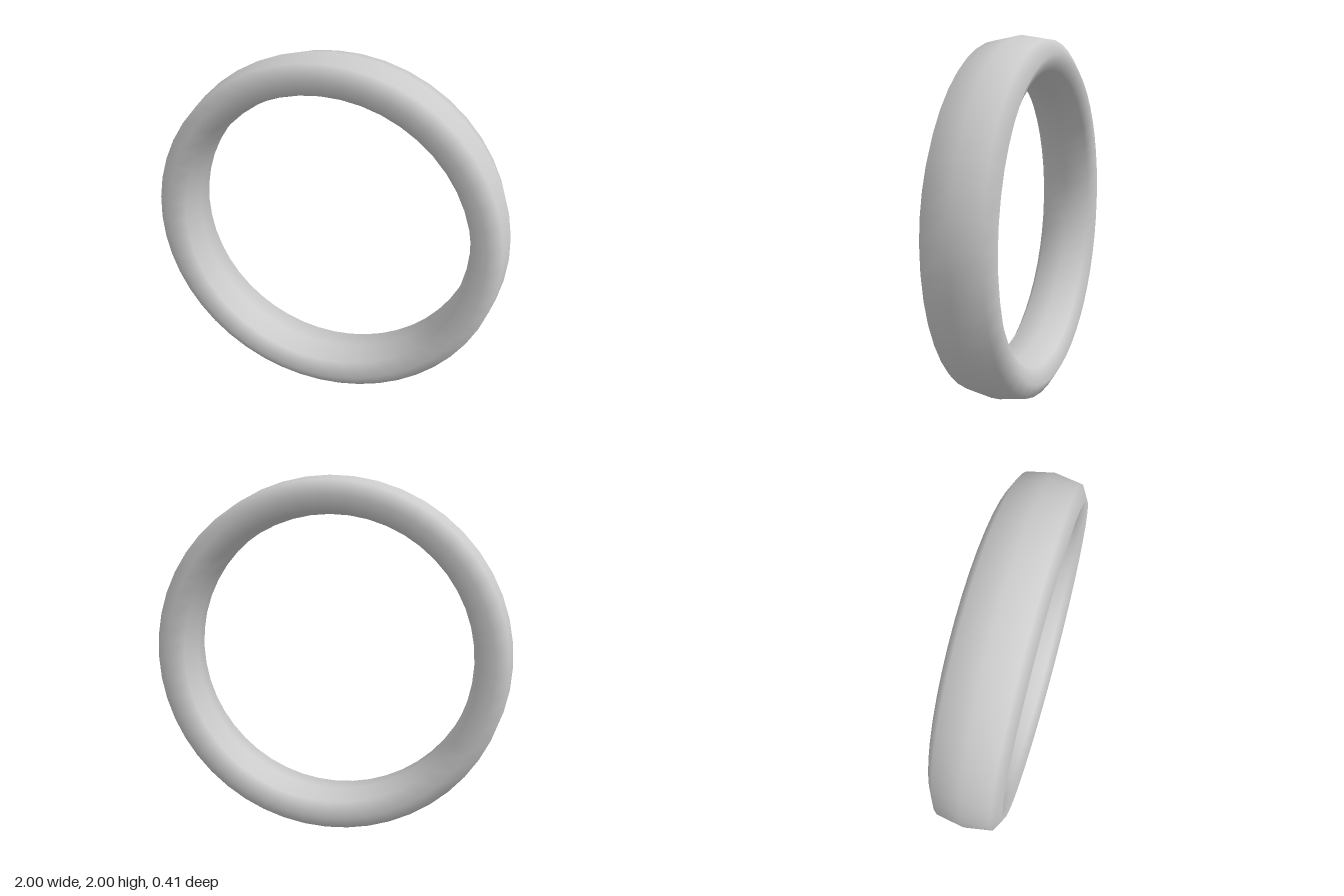
import * as THREE from 'three';
import { mergeVertices } from 'three/addons/utils/BufferGeometryUtils.js';

export function createModel() {
  const group = new THREE.Group();

  // Band cross-section (radius, width), closed loop starting on the inner face
  const half = [[0.797, 0], [0.817, 0.145], [0.9, 0.19], [0.975, 0.147], [1, 0]];
  const profile = [
    ...half.map(([r, w]) => new THREE.Vector2(r, -w)),
    ...half.slice(0, -1).reverse().map(([r, w]) => new THREE.Vector2(r, w)),
  ];

  // Revolve, then weld the seams so the shading is smooth all round
  let geometry = new THREE.LatheGeometry(profile, 48);
  geometry.deleteAttribute('normal');
  geometry.deleteAttribute('uv');
  geometry = mergeVertices(geometry, 1e-4);
  geometry.computeVertexNormals();
  geometry.rotateX(Math.PI / 2);

  // The ring stands upright, leaning back very slightly
  const ring = new THREE.Mesh(geometry, new THREE.MeshStandardMaterial({ color: 0xcccccc }));
  ring.name = 'ringBand';
  ring.rotation.x = -0.0175;
  ring.position.y = 1;
  group.add(ring);
  return group;
}
